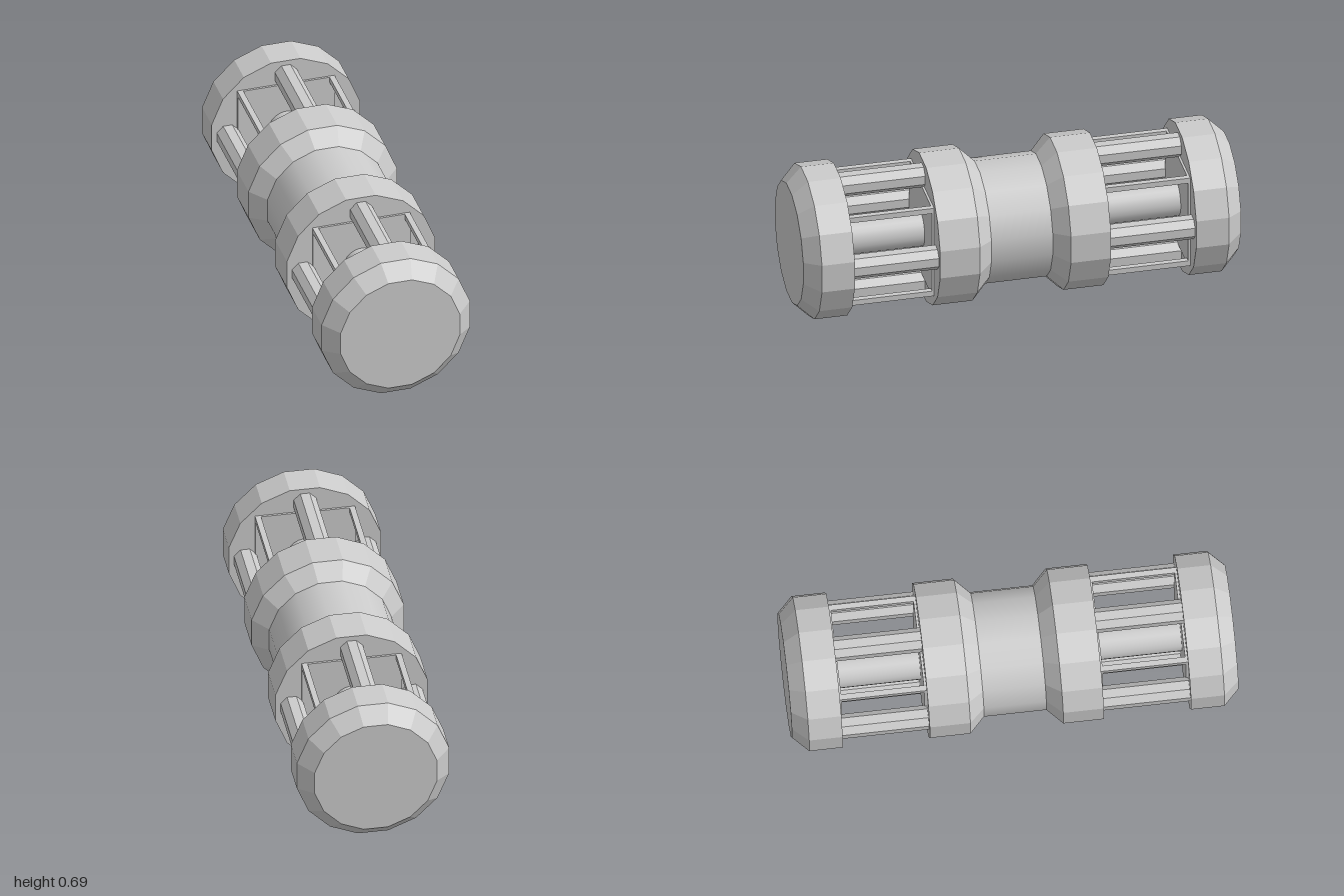
import * as THREE from 'three';

const R = 0.351, r = 0.282, CY = 0.345;   // drum radius, chamfered radius, axis height
const Z0 = 0.39, Z1 = 0.78;               // extent of the open cage
const flat = new THREE.MeshStandardMaterial({ color: 0xcccccc, flatShading: true });
const smooth = new THREE.MeshStandardMaterial({ color: 0xcccccc });

function add(parent, name, geometry, material = flat, x = 0, y = 0, z = 0) {
  const mesh = new THREE.Mesh(geometry, material);
  mesh.name = name;
  mesh.position.set(x, y, z);
  parent.add(mesh);
  return mesh;
}

// Sixteen-sided drum around z from [radius, z] pairs
function drum(profile) {
  const pts = profile.map(([a, b]) => new THREE.Vector2(a, b));
  return new THREE.LatheGeometry(pts, 16, Math.PI / 16).rotateX(Math.PI / 2);
}

// Prism along z with flat sides facing the axes
function rod(radius, length, sides, open = false) {
  return new THREE.CylinderGeometry(radius, radius, length, sides, 1, open, Math.PI / sides)
    .rotateX(Math.PI / 2);
}

function createHalf() {
  const half = new THREE.Group();
  const mid = (Z0 + Z1) / 2, len = Z1 - Z0;

  // Chamfered drums at both ends of the cage
  add(half, 'endCap', drum([[0, Z1], [R, Z1], [R, 0.93], [r, 1], [0, 1]]));
  add(half, 'innerCollar', drum([[0, 0.14], [r, 0.14], [R, 0.208], [R, Z0], [0, Z0]]));

  // Central core
  add(half, 'core', rod(0.084, len, 24, true), smooth, 0, 0, mid);

  // Four octagonal bars
  for (let i = 0; i < 4; i++) {
    const a = i * Math.PI / 2;
    add(half, 'cageBar', rod(0.055, len, 8), flat, 0.27 * Math.cos(a), 0.27 * Math.sin(a), mid);
  }

  // Square inner frame: corner posts and thin end plates
  for (const sx of [-1, 1]) for (const sy of [-1, 1]) {
    add(half, 'framePost', new THREE.BoxGeometry(0.026, 0.026, len), flat, sx * 0.213, sy * 0.213, mid);
  }
  for (const z of [Z0 + 0.005, Z1 - 0.005]) {
    add(half, 'framePlate', new THREE.BoxGeometry(0.452, 0.452, 0.01), flat, 0, 0, z);
  }
  return half;
}

export function createModel() {
  const model = new THREE.Group();
  model.name = 'cagedCylinder';

  // Narrow grip between the halves
  add(model, 'neck', rod(r, 0.28, 16, true), smooth, 0, CY, 0);

  for (const [name, turn] of [['frontHalf', 0], ['backHalf', Math.PI]]) {
    const half = createHalf();
    half.name = name;
    half.position.y = CY;
    half.rotation.y = turn;
    model.add(half);
  }
  return model;
}
